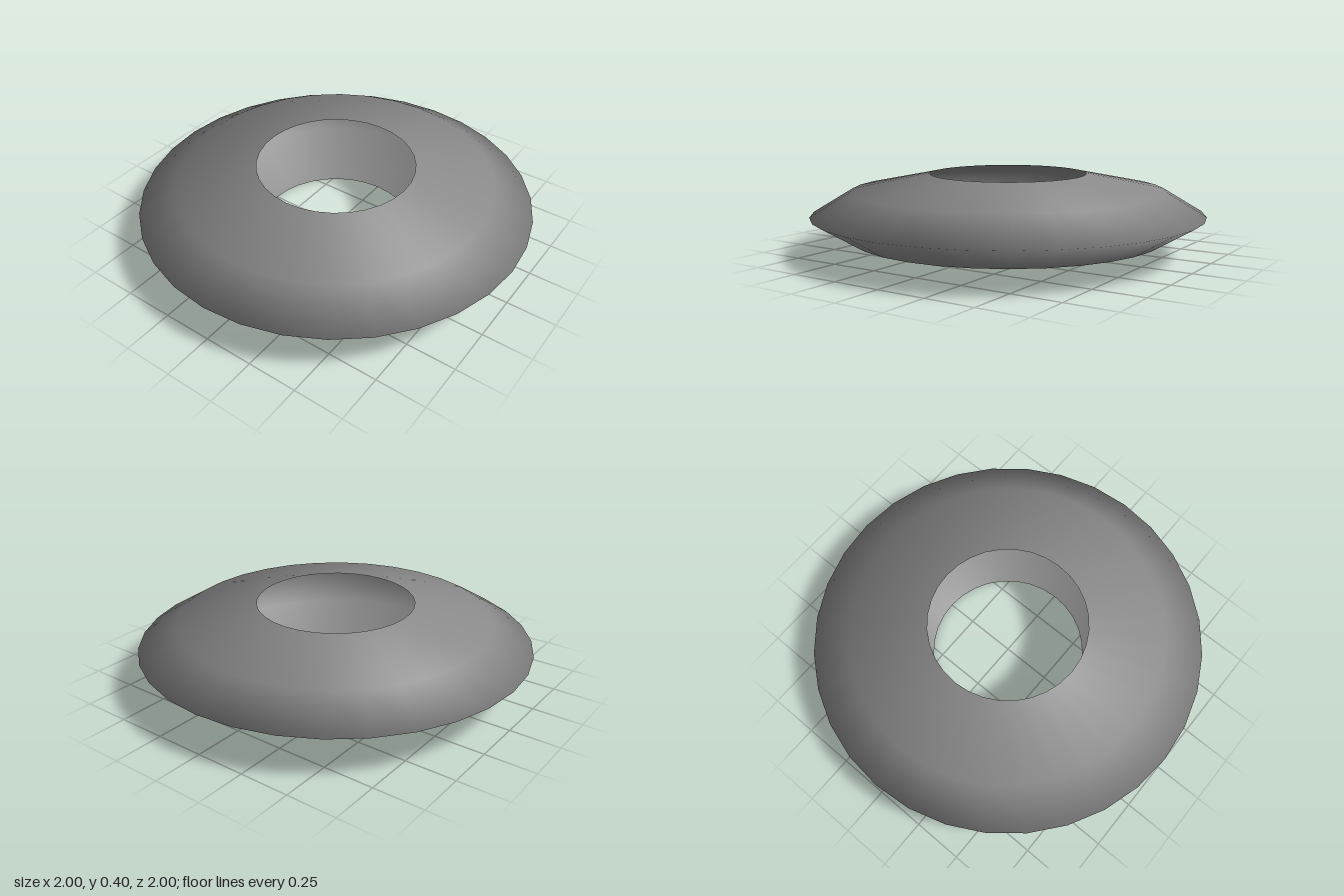
import * as THREE from 'three';
import { mergeVertices } from 'three/addons/utils/BufferGeometryUtils.js';

export function createModel() {
  const group = new THREE.Group();
  const material = new THREE.MeshStandardMaterial({ color: 0x888888, side: THREE.DoubleSide });

  // Hollow shell, open at the top and bottom, widest at a sharp rim
  const profile = [
    [0.4, -0.5],
    [0.8, -0.3],
    [1, 0],
    [0.8, 0.3],
    [0.4, 0.5],
  ].map(([r, y]) => new THREE.Vector2(r, y));

  // Weld the seam so the normals run smoothly all the way round
  const lathe = new THREE.LatheGeometry(profile, 32);
  lathe.deleteAttribute('uv');
  lathe.deleteAttribute('normal');
  const geometry = mergeVertices(lathe);
  geometry.computeVertexNormals();

  // Lower the rings to 0.4 high, keeping the normals of the rounder form for soft shading
  const position = geometry.attributes.position;
  for (let i = 0; i < position.count; i++) {
    position.setY(i, 0.2 + position.getY(i) * 0.4);
  }

  const shell = new THREE.Mesh(geometry, material);
  shell.name = 'openShell';
  group.add(shell);

  return group;
}
